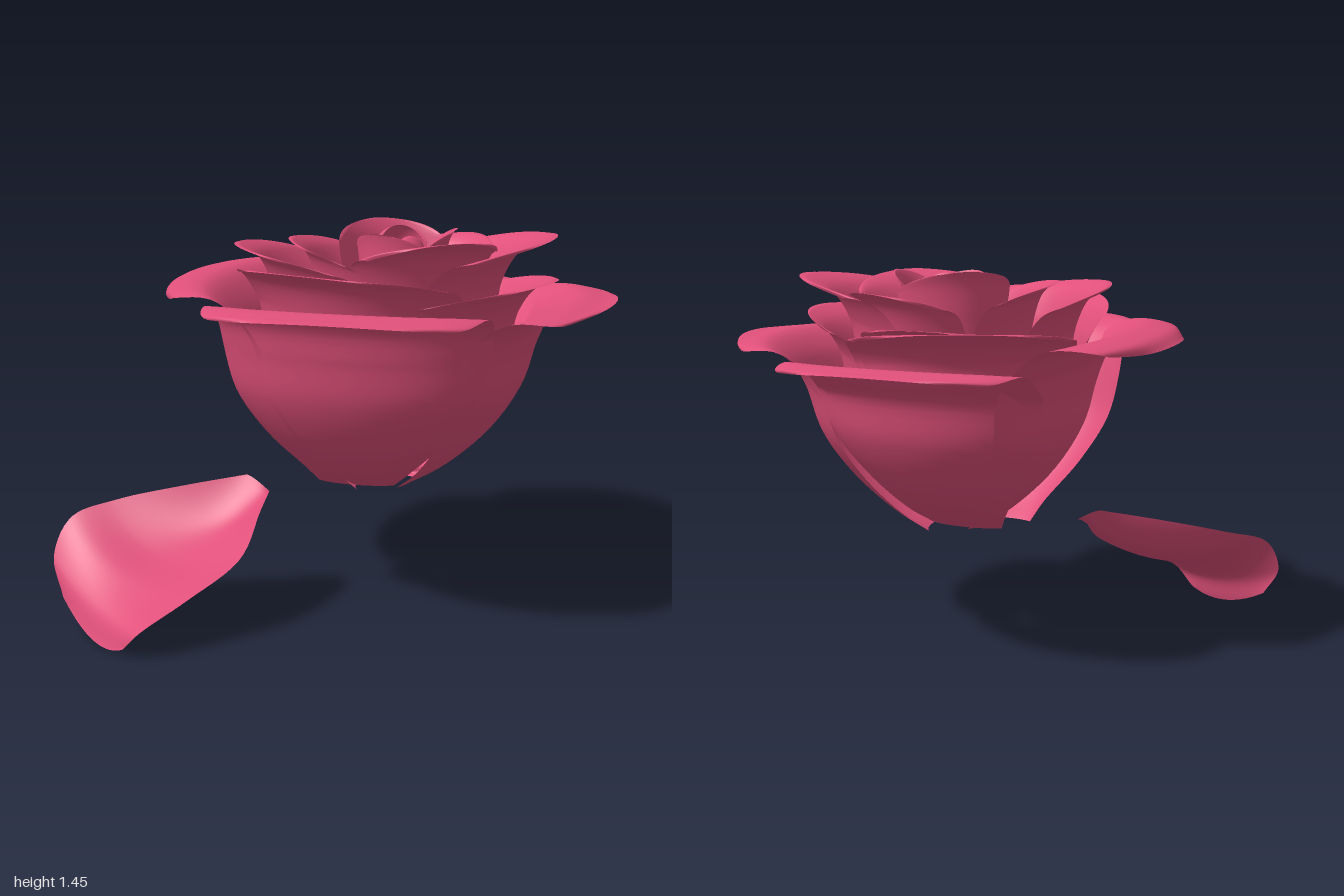
import * as THREE from 'three';
import { ParametricGeometry } from 'three/addons/geometries/ParametricGeometry.js';

const material = new THREE.MeshStandardMaterial({ color: 0xe0507a, side: THREE.DoubleSide });
const curve = (points) => new THREE.CatmullRomCurve3(points.map((p) => new THREE.Vector3(...p)));

function surface(name, fn, across, along) {
  const mesh = new THREE.Mesh(new ParametricGeometry(fn, across, along), material);
  mesh.name = name;
  return mesh;
}

// Cupped petal: rows are [distance from centre, height, half width] from base to lip.
// "wall" and "wrap" set how deeply the sides curl round, "lipDrop" how much of that
// remains at the lip, "corner" rounds the lip, "sag" lowers its ends and "sway"
// shifts the foot sideways.
function petal(name, angle, rows, { x, z, wall, wrap, lipDrop, corner, sag, sway }) {
  const profile = curve(rows), p = new THREE.Vector3(), arc = 1.2;
  const tip = rows[rows.length - 1][0];
  const mesh = surface(name, (a, b, target) => {
    const u = a * 2 - 1;
    profile.getPoint(b * (1 - corner * Math.abs(u) ** 4), p);
    const lip = tip > wall ? THREE.MathUtils.clamp((p.x - wall) / (tip - wall), 0, 1) : 0;
    const depth = Math.min(p.x, wall) * wrap * (1 - lip * (1 - lipDrop));
    const drop = depth * (1 - Math.cos(u * arc)) / (1 - Math.cos(arc));
    const side = p.z * Math.sin(u * arc) / Math.sin(arc) + sway * (1 - b) ** 2;
    target.set(side, p.y - sag * u * u * b * b, p.x - drop);
  }, 32, 36);
  mesh.rotation.y = THREE.MathUtils.degToRad(angle);
  mesh.position.set(x, 0, z);
  return mesh;
}

// Broad outer petal: wall scale, lip reach, lip height, half width, lip arch, foot sway
function outerPetal(name, angle, scale, reach, top, width, arch, sway, x, z) {
  const edge = 0.55 * scale;
  const lipAt = (t) => edge + (reach - edge) * t;
  const rows = [
    [0.1, 0.465, 0.15], [0.21 * scale, 0.54, 0.21], [0.36 * scale, 0.69, width * 0.67],
    [0.46 * scale, 0.86, width * 0.88], [0.505 * scale, 1.02, width * 0.97],
    [edge, top - 0.07, width], [lipAt(0.35), top + arch, width],
    [lipAt(0.8), top + arch, width * 0.9], [reach, top, width * 0.65],
  ];
  return petal(name, angle, rows, {
    x, z, wall: 0.51 * scale, wrap: 0.36, lipDrop: 0.5, corner: 0.09, sag: 0.03, sway,
  });
}

// Upright inner petal: lip radius, lip height, half width and outward flare
function innerPetal(name, angle, radius, top, width, flare, x, z) {
  const wall = radius - flare, h = top - 0.5;
  const rows = [
    [0, 0.5, 0.08], [wall * 0.6, 0.5 + h * 0.3, width * 0.6],
    [wall * 0.92, 0.5 + h * 0.6, width * 0.85], [wall, 0.5 + h * 0.82, width * 0.95],
    [wall + flare * 0.35, top - 0.05, width], [wall + flare * 0.8, top - 0.005, width * 0.95],
    [radius, top, width * 0.82],
  ];
  return petal(name, angle, rows, {
    x, z, wall, wrap: 0.62, lipDrop: 0.85, corner: 0.12, sag: 0.06, sway: 0,
  });
}

// Loose petal lying below: each row is left edge, middle, right edge
function fallenPetal() {
  const rows = [
    [[-0.35, 0.5, 0.19], [-0.31, 0.485, 0.2], [-0.25, 0.45, 0.22]],
    [[-0.58, 0.46, 0.27], [-0.42, 0.34, 0.32], [-0.24, 0.41, 0.36]],
    [[-0.82, 0.41, 0.36], [-0.58, 0.25, 0.47], [-0.25, 0.29, 0.56]],
    [[-0.96, 0.36, 0.46], [-0.7, 0.2, 0.62], [-0.38, 0.19, 0.77]],
    [[-1, 0.23, 0.54], [-0.75, 0.12, 0.72], [-0.5, 0.11, 0.9]],
    [[-0.93, 0.1, 0.62], [-0.74, 0.01, 0.78], [-0.58, 0.03, 0.88]],
  ];
  const rails = [0, 1, 2].map((i) => curve(rows.map((row) => row[i])));
  return surface('fallenPetal', (u, v, target) => {
    const [l, m, r] = rails.map((rail) => rail.getPoint(v));
    target.set(0, 0, 0)
      .addScaledVector(l, (1 - u) * (1 - 2 * u))
      .addScaledVector(m, 4 * u * (1 - u))
      .addScaledVector(r, u * (2 * u - 1));
  }, 28, 32);
}

export function createModel() {
  const group = new THREE.Group();
  group.name = 'rose';

  // Four outer petals
  group.add(
    outerPetal('outerPetalFront', 0, 1, 0.85, 1.22, 0.51, 0.005, -0.08, 0.13, 0),
    outerPetal('outerPetalRight', -90, 1, 0.85, 1.2, 0.54, 0.04, 0.08, 0.15, -0.06),
    outerPetal('outerPetalBack', 174, 1.18, 0.91, 1.15, 0.47, 0.005, 0, 0.11, 0),
    outerPetal('outerPetalLeft', 91, 1.1, 0.85, 1.19, 0.47, 0, 0, 0.15, -0.06),
  );

  // Middle ring: angle, radius, top, half width, flare
  [
    [-161, 0.74, 1.28, 0.42, 0.22], [-18, 0.63, 1.34, 0.46, 0.14],
    [78, 0.66, 1.28, 0.4, 0.16], [98, 0.63, 1.42, 0.38, 0.2],
    [-62, 0.57, 1.39, 0.43, 0.14], [-179, 0.57, 1.27, 0.31, 0.13],
  ].forEach((p, i) => group.add(innerPetal('middlePetal' + (i + 1), ...p, 0.15, 0)));

  // Tight petals round the heart, the last ones closing inwards
  [
    [155, 0.43, 1.38, 0.23, 0.13], [-75, 0.43, 1.4, 0.33, 0.1],
    [42, 0.37, 1.42, 0.29, 0.13], [-140, 0.24, 1.45, 0.22, 0.03],
    [95, 0.2, 1.44, 0.17, 0.05], [-20, 0.17, 1.43, 0.16, 0.02],
    [-150, 0.07, 1.44, 0.1, -0.05], [50, 0.03, 1.41, 0.08, -0.06],
  ].forEach((p, i) => group.add(innerPetal('heartPetal' + (i + 1), ...p, 0.21, -0.02)));

  group.add(fallenPetal());
  return group;
}
